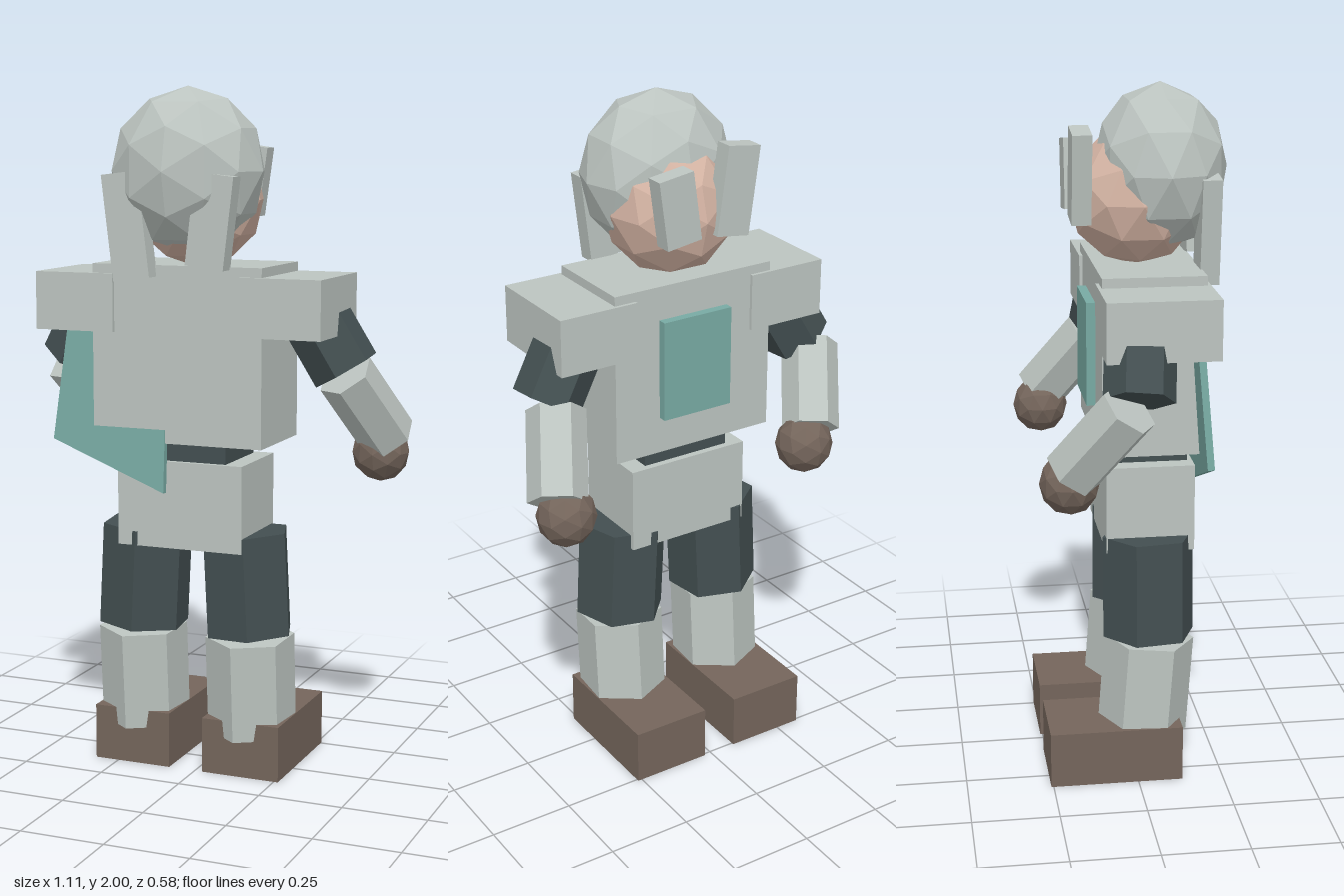
import * as THREE from 'three';

const mat = (name, color) => {
  const m = new THREE.MeshStandardMaterial({ color, flatShading: true });
  m.name = name;
  return m;
};

export function createModel() {
  const root = new THREE.Group();
  root.name = 'armouredFigure';
  const armour = mat('pale grey armour', 0xbcc4c0);
  const cloth = mat('dark slate cloth', 0x434f51);
  const leather = mat('brown leather', 0x74655b);
  const skin = mat('skin', 0xd2b2a2);
  const teal = mat('teal cloth', 0x78aaa3);
  const CX = -0.03; // centre line of the body

  const add = (name, geo, material) => {
    const mesh = new THREE.Mesh(geo, material);
    mesh.name = name;
    root.add(mesh);
    return mesh;
  };
  // Box given by its limits on each axis
  const box = (name, material, [x0, x1], [y0, y1], [z0, z1]) => {
    const m = add(name, new THREE.BoxGeometry(x1 - x0, y1 - y0, z1 - z0), material);
    m.position.set((x0 + x1) / 2, (y0 + y1) / 2, (z0 + z1) / 2);
    return m;
  };
  // Faceted ball stretched to three radii
  const ball = (name, material, centre, radii) => {
    const m = add(name, new THREE.IcosahedronGeometry(1, 1).scale(...radii), material);
    m.position.set(...centre);
    return m;
  };
  // Six-sided limb segment between two points, twisted about its axis
  const limb = (name, material, from, to, r, twist = 0) => {
    const a = new THREE.Vector3(...from), b = new THREE.Vector3(...to);
    const geo = new THREE.CylinderGeometry(r, r, a.distanceTo(b), 6).rotateY(twist);
    const m = add(name, geo, material);
    m.position.copy(a).add(b).multiplyScalar(0.5);
    m.quaternion.setFromUnitVectors(new THREE.Vector3(0, 1, 0), a.sub(b).normalize());
    return m;
  };

  // Trunk
  box('torso', armour, [-0.29, 0.23], [0.99, 1.5], [-0.1, 0.192]);
  box('waist', cloth, [-0.17, 0.11], [0.92, 1.0], [-0.06, 0.16]);
  box('pelvis', armour, [-0.222, 0.165], [0.68, 0.935], [-0.08, 0.175]);
  box('rightShoulderPlate', armour, [-0.467, -0.222], [1.305, 1.473], [-0.11, 0.203]);
  box('leftShoulderPlate', armour, [0.163, 0.407], [1.305, 1.473], [-0.11, 0.203]);
  box('tealPanel', teal, [-0.14, 0.085], [1.1, 1.4], [-0.126, -0.09]);

  // Hanging cloth, a thin slanted sheet
  const cut = new THREE.Shape([[-0.37, 1.42], [-0.42, 0.982], [-0.065, 0.845], [-0.065, 1.4]]
    .map(([x, y]) => new THREE.Vector2(x, y - 1)));
  const drape = add('hangingCloth',
    new THREE.ExtrudeGeometry(cut, { depth: 0.02, bevelEnabled: false }), teal);
  drape.position.set(0, 1, 0.174);
  drape.rotation.x = -0.07;

  // Head and rounded hair cap
  ball('head', skin, [CX, 1.68, 0.028], [0.192, 0.195, 0.192]);
  ball('hairCap', armour, [CX, 1.763, 0.098], [0.227, 0.237, 0.192]);

  // Hair locks: name, x, y, z, width, height, tilt
  for (const [name, x, y, z, w, h, tilt] of [
    ['rightLongLock', -0.163, 1.61, 0.214, 0.112, 0.3, 0.12],
    ['leftLongLock', 0.092, 1.628, 0.214, 0.115, 0.26, -0.12],
    ['rightFringeLock', -0.13, 1.757, -0.14, 0.105, 0.255, 0.14],
    ['leftFringeLock', 0.06, 1.734, -0.142, 0.11, 0.2, -0.14],
  ]) {
    const lock = add(name, new THREE.BoxGeometry(w, h, 0.055), armour);
    lock.position.set(x, y, z);
    lock.rotation.z = tilt;
  }

  // Arms
  limb('leftUpperArm', cloth, [0.3, 1.385, 0.0], [0.408, 1.2, -0.02], 0.1);
  limb('leftForearm', armour, [0.395, 1.185, -0.05], [0.48, 0.985, -0.2], 0.085);
  ball('leftHand', leather, [0.457, 0.94, -0.205], [0.086, 0.09, 0.085]);
  limb('rightUpperArm', cloth, [-0.35, 1.385, 0.0], [-0.455, 1.2, -0.02], 0.1);
  limb('rightForearm', armour, [-0.48, 1.185, -0.05], [-0.385, 0.985, -0.195], 0.085);
  ball('rightHand', leather, [-0.358, 0.945, -0.2], [0.086, 0.09, 0.085]);

  // Legs and boots, mirrored about the body's centre line
  for (const [side, s, twist] of [['left', 1, 0.32], ['right', -1, 0.14]]) {
    const x = (d) => CX + s * d;
    limb(side + 'Thigh', cloth, [x(0.155), 0.722, 0.045], [x(0.17), 0.42, 0.045], 0.136, twist);
    limb(side + 'Shin', armour, [x(0.172), 0.41, 0.047], [x(0.172), 0.12, 0.026], 0.131, -0.08);
    const boot = box(side + 'Boot', leather, [-0.12, 0.12], [0, 0.165], [-0.257, 0.13]);
    boot.position.x = x(0.173);
  }
  return root;
}
